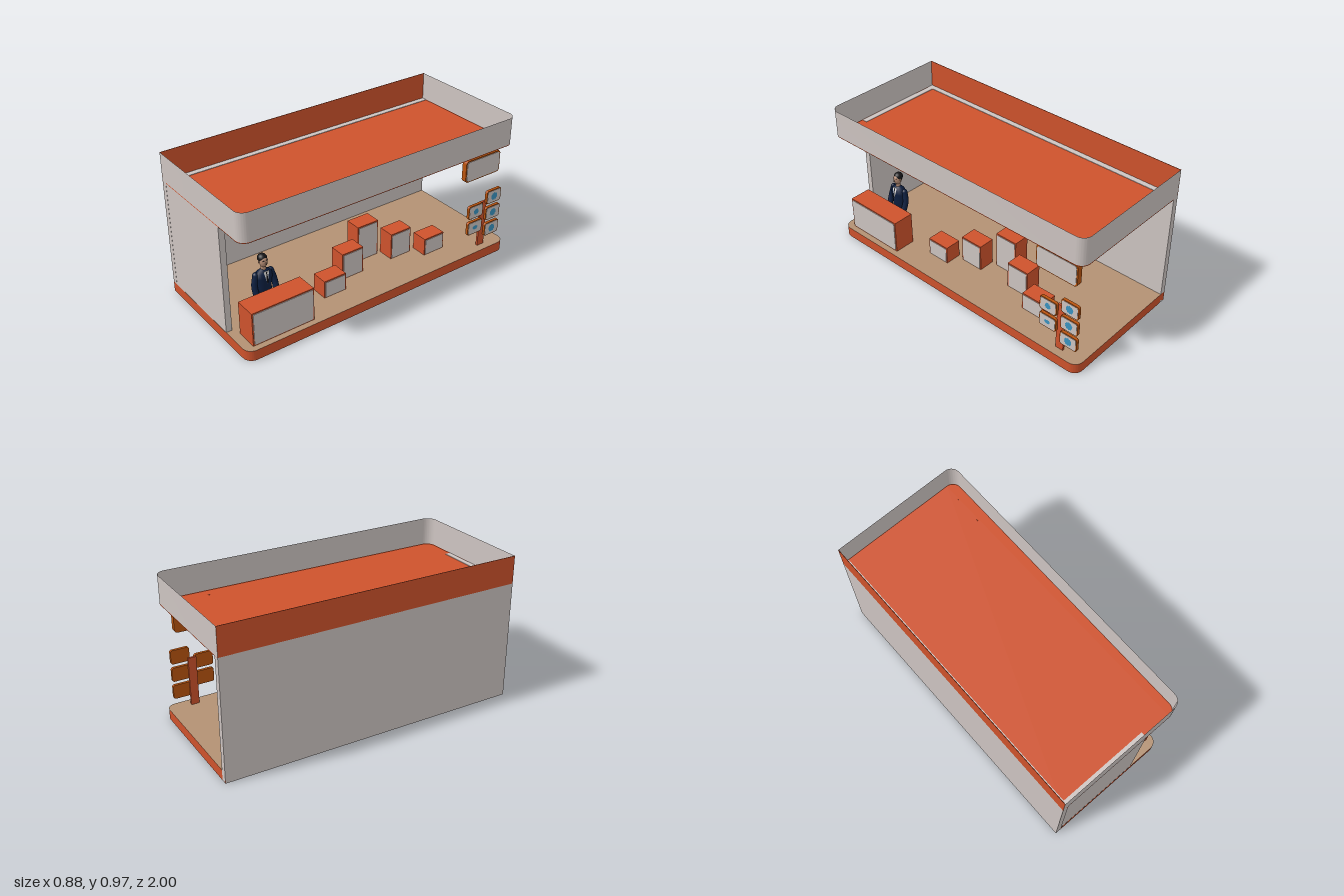
import * as THREE from 'three';
import { toCreasedNormals } from 'three/addons/utils/BufferGeometryUtils.js';

const mat = (name, color, side = THREE.FrontSide) => {
  const m = new THREE.MeshStandardMaterial({ color, side });
  m.name = name;
  return m;
};

export function createModel() {
  const root = new THREE.Group();
  root.name = 'exhibitionBooth';
  const D = THREE.DoubleSide;
  const orange = mat('orange', 0xce522c, D), light = mat('light grey', 0xcdc4c1, D);
  const tan = mat('tan floor', 0xb39173, D), amber = mat('amber', 0xba540f);
  const blue = mat('blue', 0x3a92c0, D), navy = mat('navy', 0x0d1f40, D);
  const skin = mat('skin', 0xb58c74), black = mat('black', 0x141417), white = mat('white', 0xe6e4e2, D);

  const add = (name, geo, m, parent = root) => {
    const mesh = new THREE.Mesh(geo, m);
    mesh.name = name;
    parent.add(mesh);
    return mesh;
  };
  // box given by its limits on each axis
  const box = (name, m, [x0, x1], [y0, y1], [z0, z1], parent = root) => {
    const b = add(name, new THREE.BoxGeometry(x1 - x0, y1 - y0, z1 - z0), m, parent);
    b.position.set((x0 + x1) / 2, (y0 + y1) / 2, (z0 + z1) / 2);
    return b;
  };
  // rounded plate facing +x, starting at x and growing by depth
  const plate = (name, m, x, y, z, w, h, depth, r, parent = root) => {
    const s = new THREE.Shape(), a = w / 2, b = h / 2;
    s.moveTo(-a + r, -b);
    s.lineTo(a - r, -b); s.absarc(a - r, -b + r, r, -Math.PI / 2, 0);
    s.lineTo(a, b - r); s.absarc(a - r, b - r, r, 0, Math.PI / 2);
    s.lineTo(-a + r, b); s.absarc(-a + r, b - r, r, Math.PI / 2, Math.PI);
    s.lineTo(-a, -b + r); s.absarc(-a + r, -b + r, r, Math.PI, Math.PI * 1.5);
    const p = add(name, new THREE.ExtrudeGeometry(s, { depth, bevelEnabled: false, curveSegments: 5 }), m, parent);
    p.rotation.y = Math.PI / 2;
    p.position.set(x, y, z);
    return p;
  };

  // footprint: square at the back wall, rounded on the open side
  const R = 0.06, X = 0.44;
  const outline = new THREE.Shape();
  outline.moveTo(-X, -1);
  outline.lineTo(X - R, -1);
  outline.absarc(X - R, -1 + R, R, -Math.PI / 2, 0);
  outline.lineTo(X, 1 - R);
  outline.absarc(X - R, 1 - R, R, 0, Math.PI / 2);
  outline.lineTo(-X, 1);
  const pts = outline.getPoints(8);

  const slab = (name, m, y) => {
    const s = add(name, new THREE.ShapeGeometry(outline, 8), m);
    s.rotation.x = -Math.PI / 2;
    s.position.y = y;
  };
  // upright band following the open three sides of the footprint
  const band = (name, m, y0, y1) => {
    const pos = [], idx = [];
    pts.forEach((p, i) => {
      pos.push(p.x, y0, -p.y, p.x, y1, -p.y);
      const k = i * 2;
      if (i) idx.push(k - 2, k, k - 1, k - 1, k, k + 1);
    });
    const g = new THREE.BufferGeometry();
    g.setAttribute('position', new THREE.Float32BufferAttribute(pos, 3));
    g.setIndex(idx);
    add(name, toCreasedNormals(g, 0.6), m);
  };

  // shell: hollow base, floor, walls, roof and fascia
  band('baseRim', orange, 0, 0.068);
  slab('floor', tan, 0.068);
  box('backWall', light, [-X, -0.4], [0, 0.787], [-1, 1]);
  box('endWall', light, [-X, 0.2], [0.066, 0.787], [0.96, 0.999]);
  slab('roof', orange, 0.784);
  band('fasciaEdge', orange, 0.782, 0.787);
  band('fascia', light, 0.787, 0.97);
  box('backFascia', orange, [-X, -X + 0.003], [0.785, 0.97], [-1, 1]);

  // reception desk with a light front panel
  box('desk', orange, [0.255, 0.4], [0.066, 0.292], [0.52, 0.94]);
  plate('deskPanel', light, 0.399, 0.18, 0.73, 0.404, 0.208, 0.005, 0.008);

  // display plinths in a V, tallest in the middle
  [[0.21, 0.27, 0.187], [0.115, 0.065, 0.25], [0.01, -0.135, 0.32], [0.115, -0.323, 0.25], [0.21, -0.525, 0.187]]
    .forEach(([x, z, h], i) => {
      const g = new THREE.Group();
      g.name = 'plinth' + (i + 1);
      root.add(g);
      box('plinthBody', orange, [x - 0.055, x + 0.055], [0.066, h], [z - 0.08, z + 0.08], g);
      box('plinthPanel', light, [x + 0.053, x + 0.058], [0.072, h - 0.009], [z - 0.072, z + 0.072], g);
      if (i === 1) box('plinthUnderside', navy, [x - 0.055, x + 0.055], [0.064, 0.066], [z - 0.08, z + 0.08], g);
    });

  // hanging sign
  const hanging = new THREE.Group();
  hanging.name = 'hangingSign';
  root.add(hanging);
  plate('signFrame', amber, 0.358, 0.665, -0.79, 0.29, 0.15, 0.035, 0.022, hanging);
  plate('signFace', light, 0.392, 0.665, -0.79, 0.274, 0.134, 0.004, 0.018, hanging);
  for (const z of [-0.69, -0.885]) box('signRod', orange, [0.37, 0.383], [0.735, 0.785], [z - 0.006, z + 0.006], hanging);

  // direction post with five small boards
  const post = new THREE.Group();
  post.name = 'directionPost';
  root.add(post);
  box('post', orange, [0.372, 0.386], [0.001, 0.395], [-0.857, -0.803], post);
  [[-0.75, 0.357], [-0.75, 0.238], [-0.903, 0.42], [-0.903, 0.3], [-0.903, 0.18]].forEach(([z, y], i) => {
    plate('boardFrame', amber, 0.383, y, z, 0.122, 0.094, 0.019, 0.014, post);
    plate('boardFace', light, 0.4, y, z, 0.11, 0.082, 0.004, 0.011, post);
    // blue mark: a wavy disc
    const s = new THREE.Shape();
    for (let k = 0; k <= 20; k++) {
      const a = (k / 20) * Math.PI * 2, r = (i < 2 ? 0.02 : 0.025) + (k % 2 ? 0.003 : -0.002);
      const u = r * Math.cos(a), v = r * Math.sin(a) * (i === 1 ? 0.7 : 1.05);
      k ? s.lineTo(u, v) : s.moveTo(u, v);
    }
    const mark = add('boardMark', new THREE.ShapeGeometry(s), blue, post);
    mark.rotation.y = Math.PI / 2;
    mark.position.set(0.4055, y, z);
  });

  // attendant behind the desk, facing +x
  const man = new THREE.Group();
  man.name = 'attendant';
  man.position.set(0.178, 0, 0.718);
  root.add(man);
  const profile = [[0, 0.2], [0.05, 0.2], [0.047, 0.27], [0.056, 0.335], [0.05, 0.368], [0.02, 0.39], [0, 0.392]];
  const jacket = add('jacket', new THREE.LatheGeometry(profile.map(p => new THREE.Vector2(...p)), 20), navy, man);
  jacket.scale.x = 0.7;
  const ball = (name, m, x, y, z, sx, sy, sz) => {
    const b = add(name, new THREE.SphereGeometry(1, 16, 12), m, man);
    b.position.set(x, y, z);
    b.scale.set(sx, sy, sz);
  };
  for (const s of [-1, 1]) {
    const path = new THREE.CatmullRomCurve3([
      new THREE.Vector3(-0.005, 0.357, s * 0.052), new THREE.Vector3(0.005, 0.29, s * 0.068),
      new THREE.Vector3(0.03, 0.22, s * 0.066)]);
    add('sleeve', new THREE.TubeGeometry(path, 8, 0.019, 10), navy, man);
    ball('shoulder', navy, -0.005, 0.357, s * 0.052, 0.019, 0.019, 0.019);
    ball('cuff', navy, 0.03, 0.22, s * 0.066, 0.019, 0.019, 0.019);
    box('trouserLeg', navy, [-0.02, 0.02], [0.078, 0.21], [s * 0.024 - 0.019, s * 0.024 + 0.019], man);
    box('shoe', black, [-0.022, 0.04], [0.068, 0.08], [s * 0.024 - 0.016, s * 0.024 + 0.016], man);
    ball('ear', skin, 0, 0.443, s * 0.027, 0.006, 0.009, 0.004);
    ball('eyebrow', black, 0.027, 0.455, s * 0.011, 0.003, 0.002, 0.006);
  }
  const neck = add('neck', new THREE.CylinderGeometry(0.015, 0.017, 0.04, 12), skin, man);
  neck.position.y = 0.4;
  ball('head', skin, 0.002, 0.441, 0, 0.03, 0.037, 0.026);
  ball('nose', skin, 0.033, 0.438, 0, 0.006, 0.007, 0.004);
  ball('hair', black, -0.007, 0.458, 0, 0.031, 0.028, 0.029);

  // shirt front and tie, leaning back with the chest
  const chest = new THREE.Group();
  chest.name = 'shirtFront';
  chest.position.set(0.045, 0.3, 0);
  chest.rotation.z = 0.15;
  man.add(chest);
  const flat = (name, m, list, x) => {
    const f = add(name, new THREE.ShapeGeometry(new THREE.Shape(list.map(p => new THREE.Vector2(...p)))), m, chest);
    f.rotation.y = Math.PI / 2;
    f.position.x = x;
  };
  flat('shirt', white, [[0, 0], [0.019, 0.088], [-0.019, 0.088]], 0);
  flat('tie', black, [[0, 0.008], [0.006, 0.025], [0.003, 0.07], [0.005, 0.082], [-0.005, 0.082], [-0.003, 0.07], [-0.006, 0.025]], 0.002);

  return root;
}
